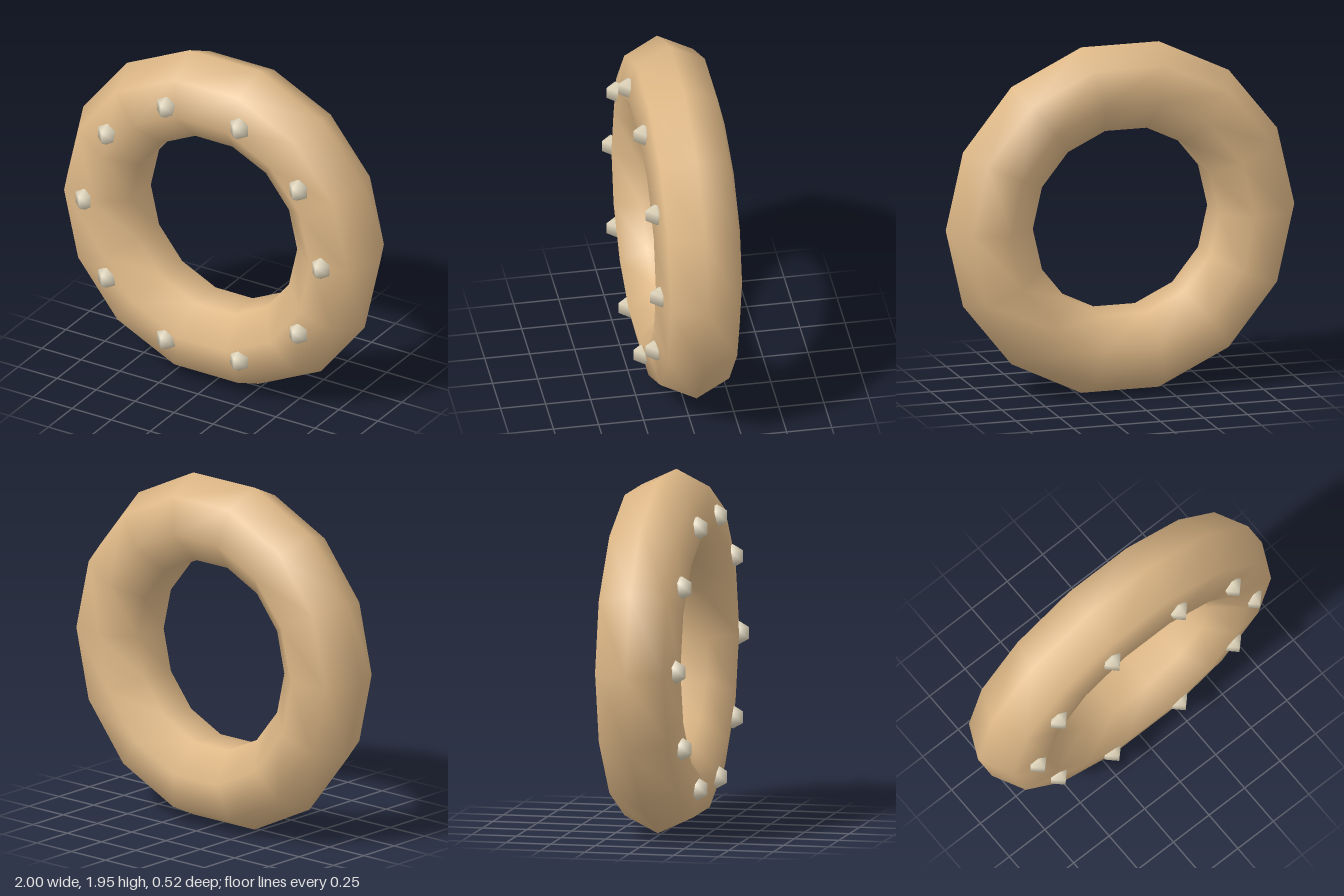
import * as THREE from 'three';

export function createModel() {
  const group = new THREE.Group();
  const ringRadius = 0.755, tubeRadius = 0.245;
  const centreY = 0.975, ringZ = -0.022;

  // Doughnut body: seven-sided tube swept in fourteen steps
  const ring = new THREE.Mesh(
    new THREE.TorusGeometry(ringRadius, tubeRadius, 7, 14),
    new THREE.MeshStandardMaterial({ color: 0xdeb887 })
  );
  ring.name = 'ring';
  ring.position.set(0, centreY, ringZ);
  group.add(ring);

  // Ten small faceted beads set into the front face
  const beadGeometry = new THREE.SphereGeometry(0.065, 4, 3);
  const beadMaterial = new THREE.MeshStandardMaterial({ color: 0xe0d5bb });
  const beads = new THREE.Group();
  beads.name = 'beads';
  for (let i = 0; i < 10; i++) {
    const angle = (i / 10) * Math.PI * 2;
    const bead = new THREE.Mesh(beadGeometry, beadMaterial);
    bead.name = 'bead';
    bead.position.set(
      Math.cos(angle) * 0.757,
      centreY + Math.sin(angle) * 0.757,
      0.203
    );
    beads.add(bead);
  }
  group.add(beads);

  return group;
}
